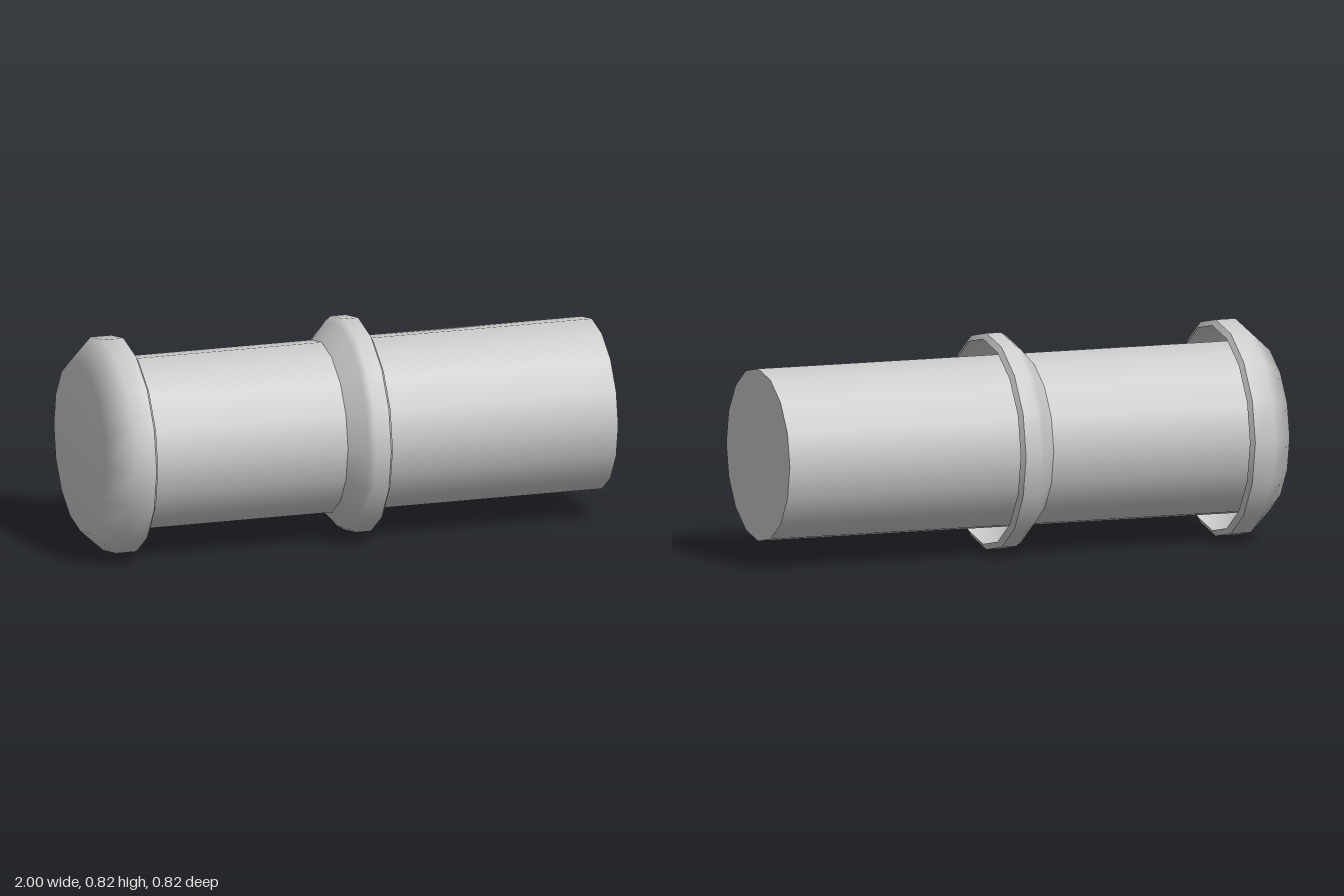
import * as THREE from 'three';

const SIDES = 16;
const AXIS_Y = 0.408; // height of the pipe's centre line
const R = 0.325;      // pipe radius
const LIP = 0.386;    // inner radius of a flange lip
const RIM = 0.408;    // outer radius of a flange

export function createModel() {
  const model = new THREE.Group();
  const material = new THREE.MeshStandardMaterial({ color: 0xcccccc, side: THREE.DoubleSide });

  // Turns each [x, radius] run around the x axis; runs meet at sharp edges.
  function turned(name, runs) {
    const part = new THREE.Group();
    part.name = name;
    runs.forEach((run, i) => {
      const points = run.map(([x, r]) => new THREE.Vector2(r, x));
      const geometry = new THREE.LatheGeometry(points, SIDES);
      geometry.rotateZ(-Math.PI / 2);
      const mesh = new THREE.Mesh(geometry, material);
      mesh.name = `${name}Surface${i + 1}`;
      part.add(mesh);
    });
    part.position.y = AXIS_Y;
    model.add(part);
  }

  // Straight pipe with a flat closed end
  turned('pipe', [
    [[-0.95, R], [1, R]],
    [[1, R], [1, 0]],
  ]);

  // Flange: smooth outer shell, bevelled lip, hollow underside
  function flange(name, outer, lipX, hollow) {
    turned(name, [
      [...outer, [lipX - 0.013, RIM]],
      [[lipX - 0.013, RIM], [lipX, LIP]],
      [[lipX, LIP], ...hollow],
    ]);
  }

  // Domed end cap
  flange('endCap', [[-1, 0], [-1, R], [-0.91, RIM]], -0.817, [[-0.89, LIP], [-0.95, R]]);

  // Collar around the middle
  flange('middleCollar', [[-0.056, R], [0.005, 0.392], [0.028, RIM]], 0.1, [[0.03, LIP], [-0.03, R]]);

  return model;
}
